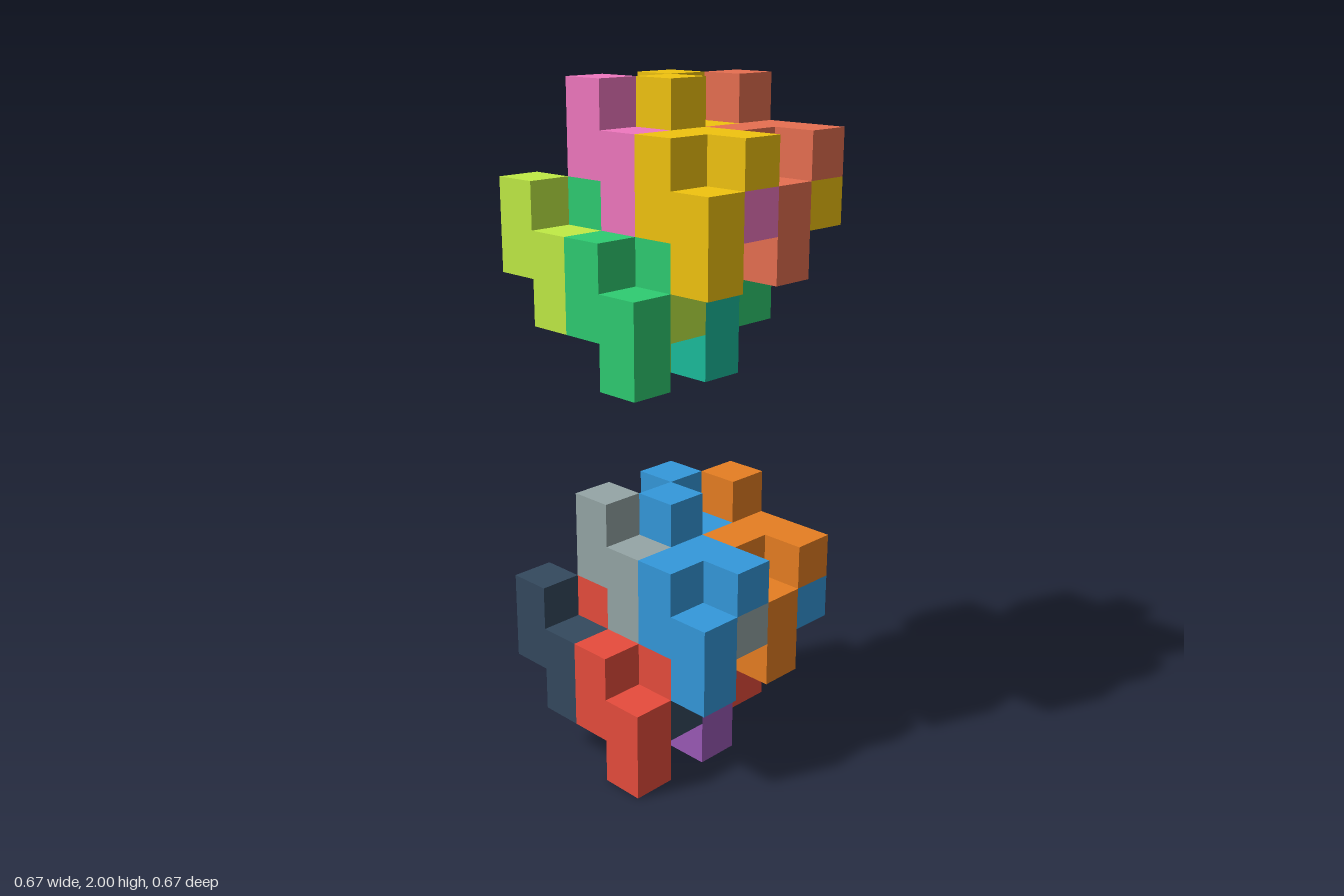
import * as THREE from 'three';
import { mergeGeometries } from 'three/addons/utils/BufferGeometryUtils.js';

const U = 2 / 15; // one cube of the puzzle
const DIRS = [[1, 0, 0], [-1, 0, 0], [0, 1, 0], [0, -1, 0], [0, 0, 1], [0, 0, -1]];

// The two repeating puzzle shapes, as cube cells [x, y, z] with the long bar at column x
const barOf = (x, y) => [1, 2, 3, 4].map((z) => [x, y, z]);
const upperBar = (x) => [...barOf(x, 4), [x, 5, 2], [x - 1, 4, 3], [x - 1, 3, 3], [x - 1, 3, 4], [x - 1, 2, 4]];
const lowerBar = (x) => [...barOf(x, 3), [x, 2, 3], [x - 1, 3, 2], [x - 1, 4, 2], [x - 1, 4, 1], [x - 1, 5, 1]];

// Half turn about x and one step sideways: the top half becomes the bottom half
const turned = (cells) => cells.map(([x, y, z]) => [x - 1, 5 - y, 4 - z]);

// Outer skin of a polycube: a square on each cube side that has no neighbour
function polycube(cells) {
  const filled = new Set(cells.map(String));
  const faces = [];
  for (const [x, y, z] of cells) {
    for (const [dx, dy, dz] of DIRS) {
      if (filled.has(String([x + dx, y + dy, z + dz]))) continue;
      const face = new THREE.PlaneGeometry(U, U);
      face.applyQuaternion(new THREE.Quaternion().setFromUnitVectors(
        new THREE.Vector3(0, 0, 1), new THREE.Vector3(dx, dy, dz)));
      face.translate((x - 2 + dx / 2) * U, (y + 0.5 + dy / 2) * U, (z - 2 + dz / 2) * U);
      faces.push(face);
    }
  }
  return mergeGeometries(faces);
}

// One complete interlocking block of six coloured pieces
function puzzleBlock(name, colors) {
  const block = new THREE.Group();
  block.name = name;
  const pieces = {
    topOuterPiece: upperBar(4),
    topMiddlePiece: [...upperBar(2), ...lowerBar(4)],
    topInnerPiece: lowerBar(2),
    bottomOuterPiece: [...turned(upperBar(4)), ...turned(lowerBar(2))],
    bottomCornerPiece: turned(upperBar(2)),
    bottomInnerPiece: turned(lowerBar(4)),
  };
  Object.entries(pieces).forEach(([pieceName, cells], i) => {
    const mesh = new THREE.Mesh(polycube(cells), new THREE.MeshStandardMaterial({ color: colors[i] }));
    mesh.name = pieceName;
    block.add(mesh);
  });
  return block;
}

export function createModel() {
  const model = new THREE.Group();
  model.name = 'puzzleBlocks';
  const lower = puzzleBlock('lowerBlock', [0xe67e22, 0x3498db, 0x95a5a6, 0xe74c3c, 0x34495e, 0x9b59b6]);
  const upper = puzzleBlock('upperBlock', [0xe76f51, 0xf1c40f, 0xf078bf, 0x2ecc71, 0xc0eb45, 0x1abc9c]);
  upper.position.y = 9 * U;
  model.add(lower, upper);
  return model;
}
